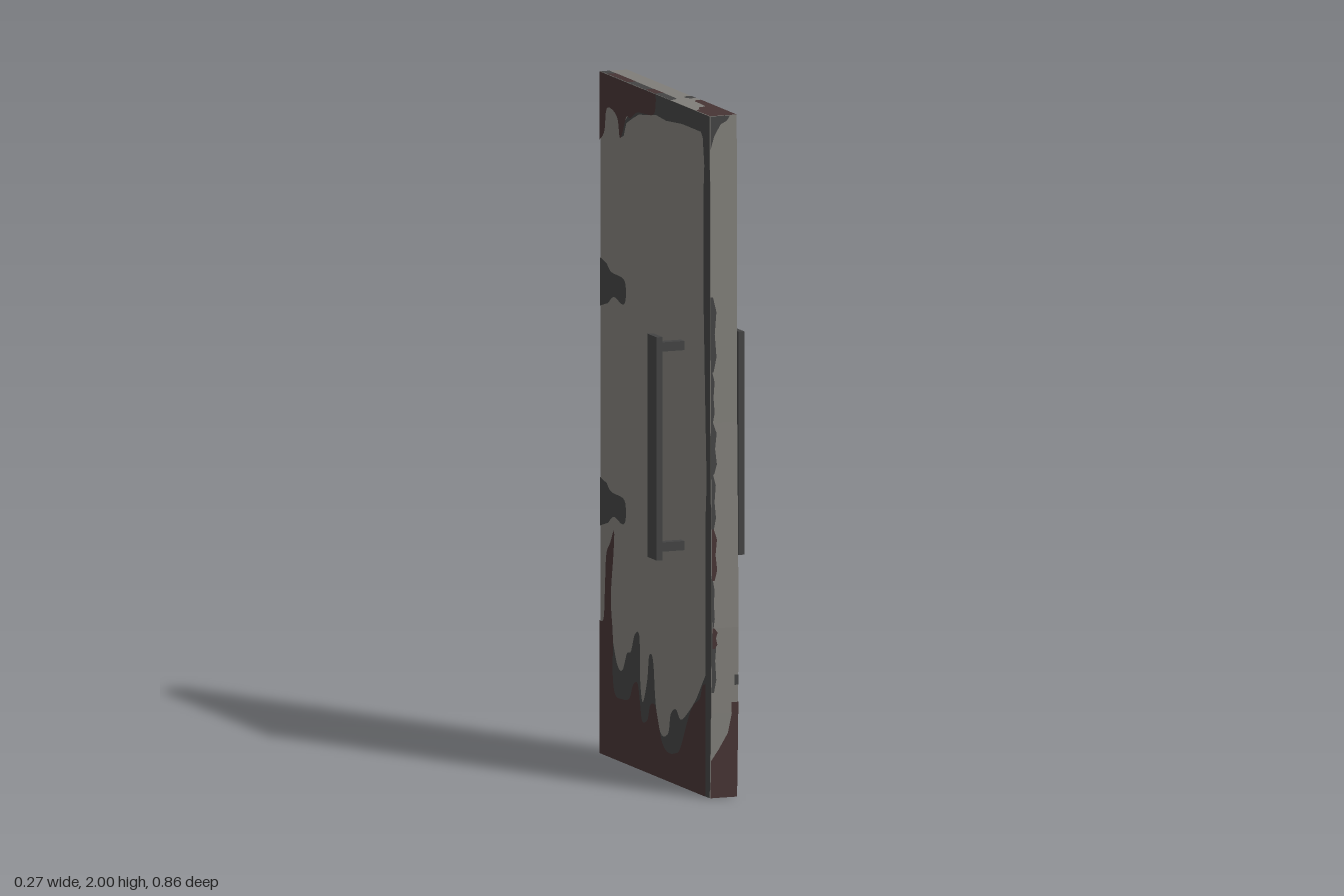
import * as THREE from 'three';

const T = 0.0415;      // half thickness of the door
const BACK = 0.426;    // half depth, hinge edge at z = -BACK
// Slightly warped free edge: [height, z]
const EDGE = [[0, 0.413], [0.25, 0.422], [0.5, 0.428], [1.1, 0.417], [2, 0.413]];

function edgeZ(y) {
  let i = 0;
  while (i < EDGE.length - 2 && y > EDGE[i + 1][0]) i++;
  const [y0, z0] = EDGE[i], [y1, z1] = EDGE[i + 1];
  return z0 + (z1 - z0) * (y - y0) / (y1 - y0);
}

const flat = (color, name) => {
  const m = new THREE.MeshStandardMaterial({ color });
  m.name = name;
  return m;
};

// Smooth an open list of points
const smooth = (pts) => new THREE.SplineCurve(pts.map(p => new THREE.Vector2(...p)))
  .getPoints(pts.length * 4).map(p => [p.x, p.y]);

const shapeOf = (pts) => new THREE.Shape(pts.map(p => new THREE.Vector2(...p)));
const rect = (x0, y0, x1, y1) => [[x0, y0], [x1, y0], [x1, y1], [x0, y1]];

export function createModel() {
  const model = new THREE.Group();
  const grey = flat(0x7f7d78, 'worn grey paint');
  const brown = flat(0x463434, 'rust brown');
  const dark = flat(0x434343, 'dark metal');
  const lift = (mat) => (mat === brown ? 0.003 : 0.0015);

  const add = (geo, mat, name) => {
    const mesh = new THREE.Mesh(geo, mat);
    mesh.name = name;
    model.add(mesh);
    return mesh;
  };

  // Door slab
  const outline = [[BACK, 0], [BACK, 2], ...EDGE.map(([y, z]) => [-z, y]).reverse()];
  const slab = new THREE.ExtrudeGeometry(shapeOf(outline), { depth: 2 * T, bevelEnabled: false });
  slab.translate(0, 0, -T).rotateY(Math.PI / 2);
  add(slab, grey, 'doorSlab');

  // Patches on both broad faces; u runs from the free edge to the hinge edge
  const broad = (pts, mat, name) => {
    for (const s of [1, -1]) {
      const g = new THREE.ShapeGeometry(shapeOf(pts.map(([u, y]) => [s * u, y])));
      g.rotateY(s * Math.PI / 2).translate(s * (T + lift(mat)), 0, 0);
      add(g, mat, name + (s > 0 ? 'Left' : 'Right'));
    }
  };

  // Bare strip down the free edge and along the top
  broad([
    ...EDGE.map(([y, z]) => [-z, y]), [0.1, 2], [0.24, 1.88], [0.285, 1.9], [0.27, 1.83], [0.245, 1.84],
    [0.225, 1.88], [0.18, 1.9], [0.13, 1.92], [0.06, 1.93], [0, 1.94], [-0.08, 1.935],
    [-0.2, 1.945], [-0.345, 1.945], [-0.36, 1.93], [-0.372, 1.85], [-0.364, 1.75], [-0.364, 1.5],
    [-0.38, 1.13], [-0.39, 0.92], [-0.38, 0.8], [-0.38, 0.33], [-0.383, 0],
  ], dark, 'bareEdge');

  // Rust along the top at the hinge side
  broad([[0, 2], ...smooth([
    [-0.005, 1.985], [0.01, 1.94], [0.08, 1.93], [0.14, 1.925], [0.19, 1.9], [0.22, 1.9],
    [0.25, 1.85], [0.272, 1.83], [0.29, 1.885], [0.34, 1.905], [0.375, 1.895], [0.39, 1.83], [BACK, 1.8],
  ]), [BACK, 2]], brown, 'topRust');

  // Bare marks by the hinges
  for (const y of [1.385, 0.74]) {
    broad([[BACK, y + 0.07], ...smooth([
      [0.375, 0.06], [0.34, 0.04], [0.25, 0.035], [0.229, 0.01], [0.233, -0.03],
      [0.26, -0.042], [0.32, -0.03], [0.365, -0.055],
    ]).map(([u, v]) => [u, y + v]), [BACK, y - 0.072]], dark, 'hingeMark');
  }

  // Peeled margin, then the rust rising from the bottom
  broad([...smooth([
    [-0.385, 0.36], [-0.35, 0.32], [-0.305, 0.27], [-0.24, 0.22], [-0.19, 0.195], [-0.155, 0.22],
    [-0.115, 0.2], [-0.095, 0.14], [-0.04, 0.13], [0, 0.21], [0.02, 0.335], [0.05, 0.345],
    [0.065, 0.27], [0.1, 0.2], [0.12, 0.27], [0.125, 0.39], [0.16, 0.39], [0.19, 0.335],
    [0.22, 0.325], [0.255, 0.27], [0.295, 0.28], [0.335, 0.36],
  ]), [0.34, 0.05], [-0.385, 0.05]], dark, 'peeledMargin');
  broad([...smooth([
    [-0.383, 0.33], [-0.36, 0.32], [-0.34, 0.28], [-0.285, 0.25], [-0.24, 0.19], [-0.19, 0.11],
    [-0.15, 0.09], [-0.095, 0.085], [-0.05, 0.11], [-0.01, 0.19], [0.01, 0.21], [0.04, 0.2],
    [0.06, 0.155], [0.1, 0.145], [0.115, 0.19], [0.135, 0.25], [0.17, 0.24], [0.2, 0.195],
    [0.26, 0.185], [0.305, 0.19], [0.325, 0.24], [0.325, 0.36], [0.34, 0.47], [0.32, 0.6],
    [0.315, 0.67], [0.345, 0.63], [0.375, 0.59], [0.385, 0.49], [0.395, 0.4], [BACK, 0.39],
  ]), [BACK, 0], [-0.383, 0]], brown, 'bottomRust');

  // Patches on the two narrow edges, the front ones following the warp
  const narrow = (pts, mat, name) => {
    for (const front of [true, false]) {
      const g = new THREE.ShapeGeometry(shapeOf(pts));
      const p = g.attributes.position;
      for (let i = 0; i < p.count; i++) p.setZ(i, (front ? edgeZ(p.getY(i)) : BACK) + lift(mat));
      if (!front) g.rotateY(Math.PI);
      g.computeVertexNormals();
      add(g, mat, name + (front ? 'Front' : 'Back'));
    }
  };
  narrow([[-T, 2], [-T, 1.9], [-0.03, 1.94], [-0.01, 1.975], [0.01, 1.985], [0.02, 2]], dark, 'cornerWear');
  narrow([[-T, 0], [T, 0], [T, 0.25], [-T, 0.25], [-T, 0.12]].slice(0, 2)
    .concat([[T, 0.25], [0.022, 0.25], [0.01, 0.19], [-0.02, 0.14], [-T, 0.11]]), brown, 'edgeRust');
  narrow(rect(0.02, 0.25, T, 0.28), brown, 'edgeRustTip');
  narrow(rect(0.03, 0.33, T, 0.36), dark, 'edgeChip');
  for (const [y0, y1, w, mat] of [
    [0.31, 0.5, 0.014, dark], [0.5, 0.64, 0.008, dark], [0.64, 0.79, 0.016, brown], [0.44, 0.5, 0.016, brown],
    [0.79, 0.95, 0.014, dark], [0.95, 1.1, 0.018, dark], [1.1, 1.25, 0.012, dark], [1.25, 1.47, 0.018, dark],
  ]) {
    const d = (y1 - y0) * 0.2;
    narrow([[-T, y0], [-T + w * 0.5, y0], [-T + w, y0 + d], [-T + w * 0.7, (y0 + y1) / 2],
      [-T + w, y1 - d], [-T + w * 0.4, y1], [-T, y1]], mat, 'edgeSliver');
  }

  // Patches on the top and bottom faces, given as x and z
  const level = (pts, mat, name, top = true) => {
    const g = new THREE.ShapeGeometry(shapeOf(pts.map(([x, z]) => [x, top ? -z : z])));
    g.rotateX(top ? -Math.PI / 2 : Math.PI / 2).translate(0, top ? 2 + lift(mat) / 3 : -lift(mat) / 3, 0);
    add(g, mat, name);
  };
  level([[-T, -BACK], [-0.014, -BACK], [-0.014, 0.09], [-0.025, 0.105], [-T, 0.11]], dark, 'topWear');
  level(rect(-T, -0.375, -0.014, -0.22), brown, 'topWearRust');
  level(rect(-T, -0.085, -0.014, -0.01), brown, 'topWearRust');
  level([[0.014, 0.075], [0.025, 0.065], [T, 0.065], [T, 0.105], [0.022, 0.105], [0.014, 0.09]], dark, 'topChip');
  level([[T, 0.14], [0.022, 0.14], [0.022, 0.15], [0.014, 0.16], [0.014, 0.21], [0.01, 0.25],
    [-0.015, 0.26], [-0.025, 0.29], [-T, 0.305], [-T, 0.413], [T, 0.413]], brown, 'topCornerRust');
  level(rect(-T, -BACK, T, 0.413), dark, 'underside', false);
  level(rect(-T, -BACK, T, -0.2), brown, 'undersideRust', false);
  level([[-T, 0.3], [T, 0.2], [T, 0.413], [-T, 0.413]], brown, 'undersideRust', false);

  // Pull handles on both faces
  for (const s of [1, -1]) {
    const handle = new THREE.Group();
    handle.name = s > 0 ? 'handleLeft' : 'handleRight';
    const box = (w, h, d, x, y, name) => {
      const m = new THREE.Mesh(new THREE.BoxGeometry(w, h, d), dark);
      m.position.set(s * x, y, 0.203);
      m.name = name;
      handle.add(m);
    };
    box(0.018, 0.655, 0.07, 0.128, 1.003, 'grip');
    for (const y of [0.71, 1.297]) box(0.082, 0.027, 0.025, 0.08, y, 'post');
    model.add(handle);
  }
  return model;
}
